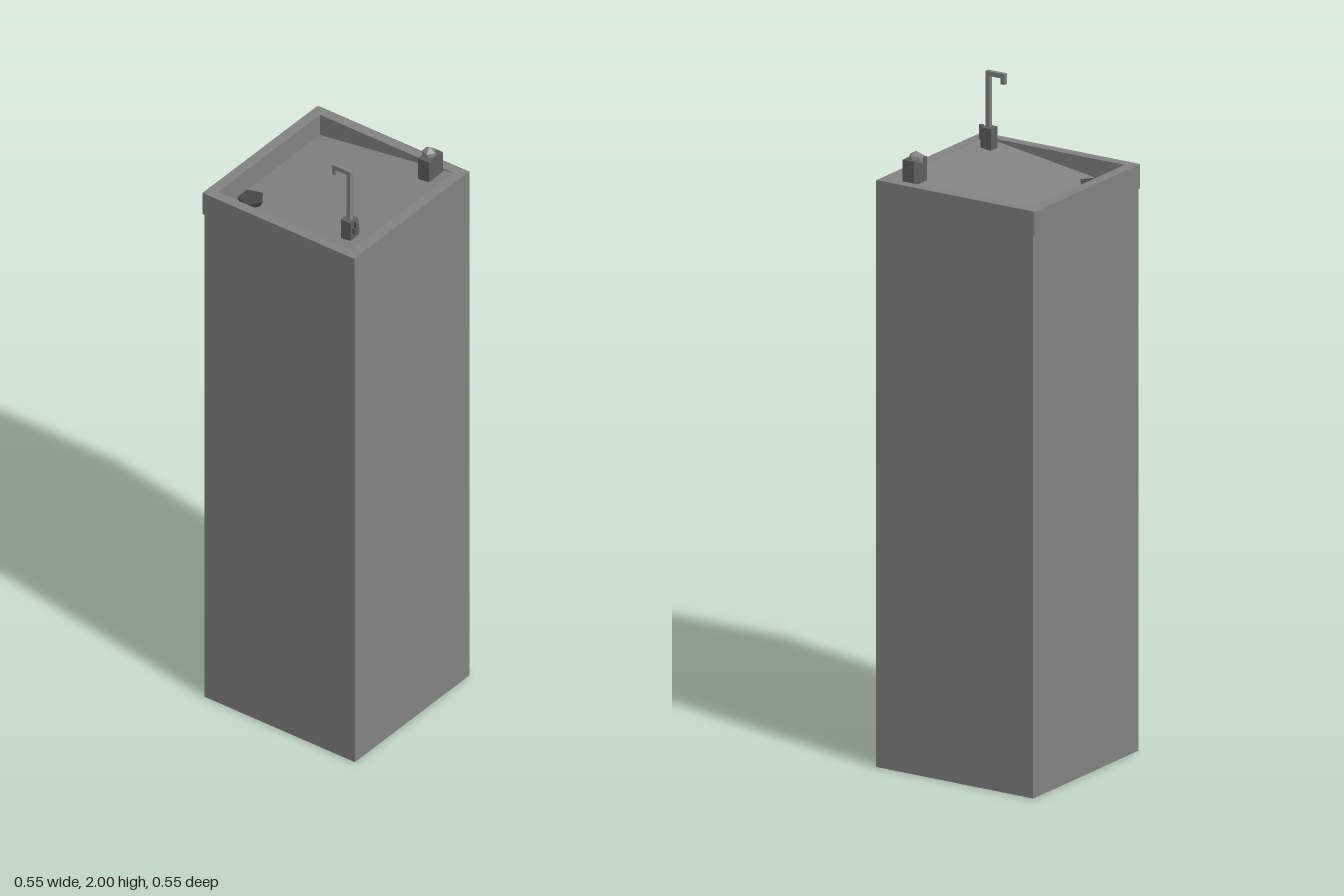
import * as THREE from 'three';

const paint = (color) => new THREE.MeshStandardMaterial({ color, flatShading: true, side: THREE.DoubleSide });
const steel = paint(0x838383);
const darkSteel = paint(0x606060);
const drainMetal = paint(0x474747);
const RIM = 1.775, LID_BASE = 1.7;

function add(parent, name, geometry, material, x = 0, y = 0, z = 0) {
  const mesh = new THREE.Mesh(geometry, material);
  mesh.name = name;
  mesh.position.set(x, y, z);
  parent.add(mesh);
  return mesh;
}

// Box given by its lowest and highest corners
function span(parent, name, material, [x0, y0, z0], [x1, y1, z1]) {
  const box = new THREE.BoxGeometry(x1 - x0, y1 - y0, z1 - z0);
  return add(parent, name, box, material, (x0 + x1) / 2, (y0 + y1) / 2, (z0 + z1) / 2);
}

// Rectangle outline centred on the origin
function rectangle(target, halfX, halfY) {
  target.moveTo(-halfX, -halfY);
  target.lineTo(halfX, -halfY);
  target.lineTo(halfX, halfY);
  target.lineTo(-halfX, halfY);
  target.closePath();
  return target;
}

export function createModel() {
  const model = new THREE.Group();
  model.name = 'drinkingFountain';

  // Square pedestal, open at the top where the basin sits
  const pedestal = span(model, 'pedestal', steel, [-0.272, 0, -0.272], [0.275, RIM - 0.001, 0.273]);
  const faces = [...pedestal.geometry.index.array];
  faces.splice(12, 6);
  pedestal.geometry.setIndex(faces);

  // Basin frame, overhanging slightly at the back and right
  const outline = rectangle(new THREE.Shape(), 0.2742, 0.274);
  outline.holes.push(rectangle(new THREE.Path(), 0.243, 0.241));
  const frame = new THREE.ExtrudeGeometry(outline, { depth: RIM - LID_BASE, bevelEnabled: false });
  frame.rotateX(-Math.PI / 2);
  add(model, 'basinFrame', frame, steel, -0.0015, LID_BASE, -0.0015);

  // Basin floor, flush with the rim at the front and falling towards the back
  const floor = new THREE.PlaneGeometry(0.486, 0.482).rotateX(-Math.PI / 2);
  const p = floor.attributes.position;
  for (let i = 0; i < p.count; i++) p.setY(i, p.getZ(i) > 0 ? RIM - 0.001 : LID_BASE + 0.004);
  floor.computeVertexNormals();
  add(model, 'basinFloor', floor, steel, -0.0015, 0, -0.0015);

  // Five-sided drain cap
  add(model, 'drain', new THREE.CylinderGeometry(0.041, 0.03, 0.022, 5), drainMetal, -0.164, 1.724, -0.184);

  // Spout: base, riser, arm and nozzle
  const spout = new THREE.Group();
  spout.name = 'spout';
  model.add(spout);
  span(spout, 'spoutBase', darkSteel, [-0.203, 1.765, 0.17], [-0.168, 1.83, 0.205]);
  span(spout, 'spoutRiser', steel, [-0.193, 1.825, 0.182], [-0.179, 2, 0.196]);
  span(spout, 'spoutArm', steel, [-0.193, 1.986, 0.13], [-0.179, 2, 0.184]);
  span(spout, 'spoutNozzle', steel, [-0.193, 1.968, 0.13], [-0.179, 1.988, 0.143]);

  // Lever on the front of the spout base
  span(spout, 'leverStem', darkSteel, [-0.195, 1.79, 0.204], [-0.176, 1.808, 0.217]);
  add(spout, 'leverHandle', new THREE.CylinderGeometry(0.008, 0.008, 0.042, 5), darkSteel, -0.1855, 1.811, 0.215);

  // Push button: block with a faceted knob
  const button = new THREE.Group();
  button.name = 'pushButton';
  model.add(button);
  span(button, 'buttonBlock', darkSteel, [0.168, 1.765, 0.168], [0.235, 1.838, 0.208]);
  const knob = new THREE.IcosahedronGeometry(0.024);
  knob.rotateX(-Math.atan((1 + Math.sqrt(5)) / 2));
  add(button, 'buttonKnob', knob, steel, 0.204, 1.838, 0.181);

  return model;
}
